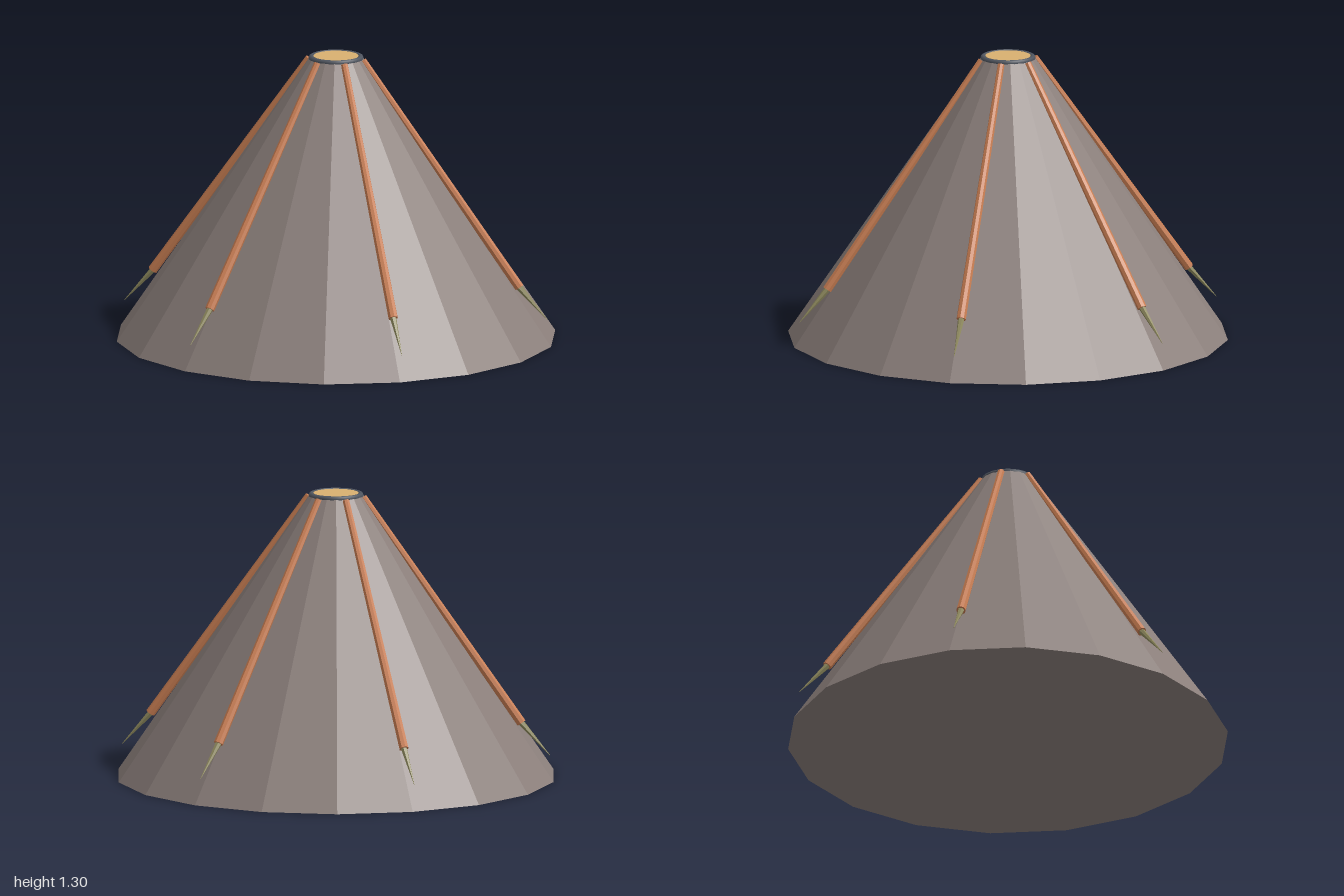
import * as THREE from 'three';

const mat = (color, flatShading = false) => new THREE.MeshStandardMaterial({ color, flatShading });

function addMesh(parent, name, geometry, material) {
  const mesh = new THREE.Mesh(geometry, material);
  mesh.name = name;
  parent.add(mesh);
  return mesh;
}

// Tapered bar between two points
function addBar(parent, name, from, to, rFrom, rTo, sides, material) {
  const dir = to.clone().sub(from);
  const bar = addMesh(parent, name, new THREE.CylinderGeometry(rTo, rFrom, dir.length(), sides), material);
  bar.position.copy(from).add(to).multiplyScalar(0.5);
  bar.quaternion.setFromUnitVectors(new THREE.Vector3(0, 1, 0), dir.normalize());
  return bar;
}

export function createModel() {
  const model = new THREE.Group();
  model.name = 'ribbedCone';

  const shell = mat(0x8c807c, true);
  const copper = mat(0xc87d52, true);
  const brass = mat(0x8f8a5e, true);
  const steel = mat(0x505660);
  const amber = mat(0xd8b070);

  // Faceted cone body, corners on the x axis
  const body = new THREE.CylinderGeometry(0.12, 1, 1.295, 18);
  body.rotateY(Math.PI / 2);
  addMesh(model, 'coneBody', body, shell).position.y = 1.295 / 2;

  // Rim and inset disc at the top
  const rim = addMesh(model, 'topRim', new THREE.TorusGeometry(0.112, 0.013, 8, 36), steel);
  rim.rotation.x = Math.PI / 2;
  rim.position.y = 1.291;
  addMesh(model, 'topDisc', new THREE.CylinderGeometry(0.102, 0.102, 0.02, 36), amber).position.y = 1.291;

  // Six ribs down the slope, each ending in a flared spike
  for (let i = 0; i < 6; i++) {
    const rib = new THREE.Group();
    rib.name = `rib${i + 1}`;
    const top = new THREE.Vector3(0.125, 1.285, 0);
    const end = new THREE.Vector3(0.85, 0.265, 0);
    const tip = new THREE.Vector3(0.98, 0.12, 0);
    addBar(rib, 'ribBar', top, end, 0.016, 0.022, 8, copper);
    addBar(rib, 'ribSpike', end, tip, 0.015, 0.001, 6, brass);
    rib.rotation.y = -THREE.MathUtils.degToRad(19.1 + i * 60);
    model.add(rib);
  }

  return model;
}
